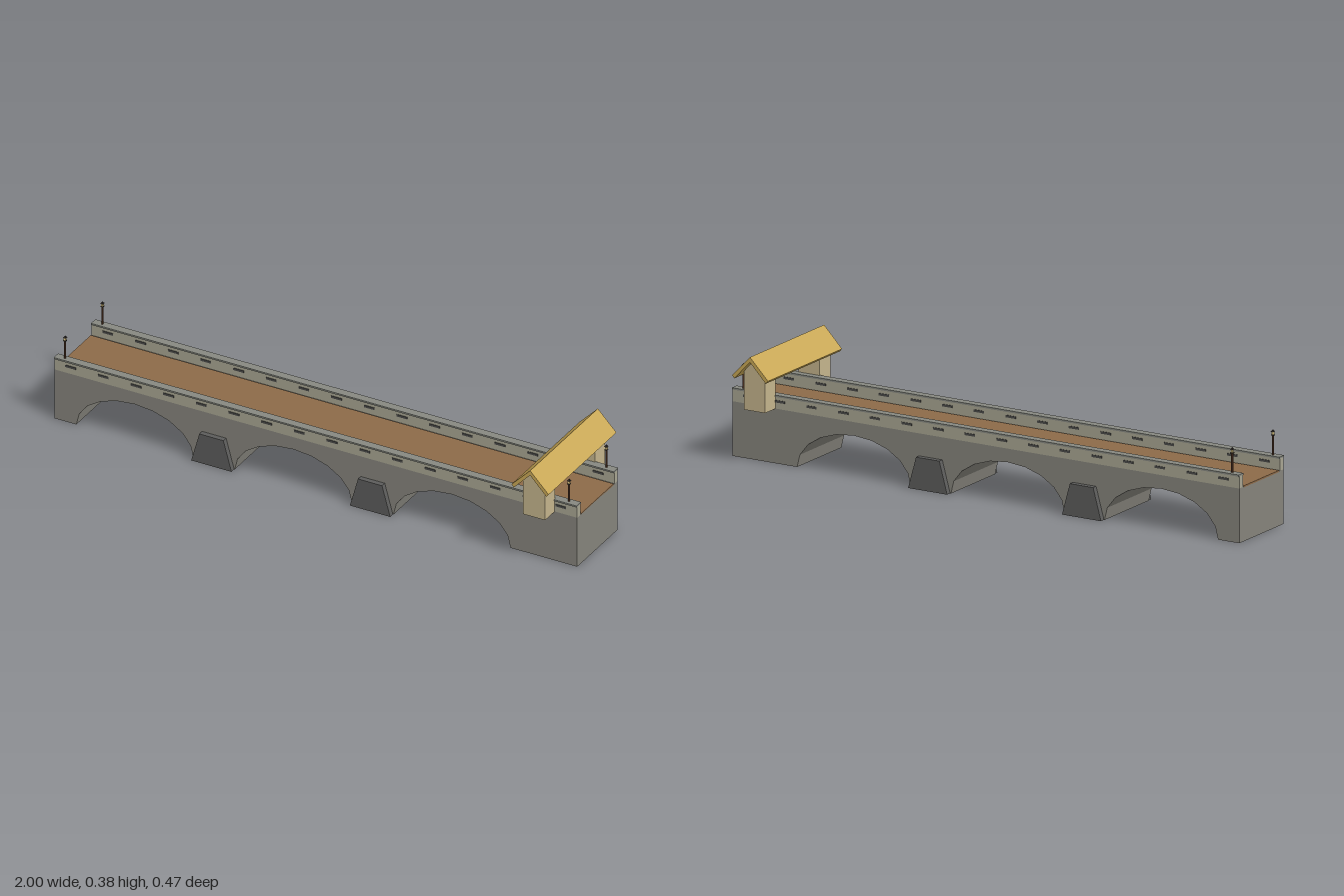
import * as THREE from 'three';

const mat = (color) => new THREE.MeshStandardMaterial({ color, flatShading: true });
const STONE = mat(0x85837b), PARAPET = mat(0xa8a592), COPING = mat(0x868880), PIER = mat(0x5c5c5b);
const SLOT = mat(0x4a4a48), EARTH = mat(0x8c6a48), WOOD = mat(0x5e3d2a), IRON = mat(0x2c2826);
const GLOW = mat(0xf0d890), PLASTER = mat(0xc4b48c), ROOF = mat(0xc9a856);

export function createModel() {
  const model = new THREE.Group();

  const add = (name, geometry, material, x = 0, y = 0, z = 0) => {
    const mesh = new THREE.Mesh(geometry, material);
    mesh.name = name;
    mesh.position.set(x, y, z);
    model.add(mesh);
    return mesh;
  };
  // Box given by its centre in x and z and by its bottom and top
  const box = (name, material, x, z, y0, y1, w, d) =>
    add(name, new THREE.BoxGeometry(w, y1 - y0, d), material, x, (y0 + y1) / 2, z);
  // Outline in x and y, extruded from z0 to z1
  const slab = (name, material, points, z0, z1, x = 0) => {
    const shape = new THREE.Shape(points.map(([px, py]) => new THREE.Vector2(px, py)));
    const geometry = new THREE.ExtrudeGeometry(shape, { depth: z1 - z0, bevelEnabled: false });
    return add(name, geometry, material, x, 0, z0);
  };

  // Bridge body with three faceted arches cut from its underside
  const outline = [[1, 0], [1, 0.19], [-1, 0.19], [-1, 0]];
  for (const cx of [-0.692, -0.086, 0.521]) {
    for (let i = 0; i <= 10; i++) {
      const a = Math.PI * (1 - i / 10);
      outline.push([cx + 0.224 * Math.cos(a), 0.143 * Math.sin(a)]);
    }
  }
  slab('archedBody', STONE, outline, -0.139, 0.139);

  // Road surface
  box('roadway', EARTH, 0, 0, 0.187, 0.193, 2, 0.222);

  for (const side of [1, -1]) {
    // Parapet wall with its coping
    box('parapet', PARAPET, 0, side * 0.128, 0.19, 0.232, 2, 0.022);
    box('coping', COPING, 0, side * 0.128, 0.232, 0.238, 2, 0.03);

    // Drain slots along the parapet
    for (let i = 0; i < 16; i++) {
      box('parapetSlot', SLOT, -0.9375 + i * 0.125, side * 0.128, 0.212, 0.22, 0.04, 0.026);
    }

    // Tapered buttresses on the piers
    for (const x of [-0.389, 0.218]) {
      const z = side > 0 ? 0.138 : -0.158;
      slab('buttress', PIER, [[-0.077, 0], [0.077, 0], [0.046, 0.112], [-0.046, 0.112]], z, z + 0.02, x);
    }

    // Lamp posts at both ends
    for (const x of [-0.965, 0.963]) {
      const z = side * 0.128;
      add('lampPost', new THREE.CylinderGeometry(0.0035, 0.0035, 0.07, 6), WOOD, x, 0.272, z);
      box('lampBase', IRON, x, z, 0.305, 0.308, 0.01, 0.01);
      box('lampGlass', GLOW, x, z, 0.308, 0.319, 0.007, 0.007);
      add('lampCap', new THREE.ConeGeometry(0.008, 0.008, 4).rotateY(Math.PI / 4), IRON, x, 0.322, z);
    }

    // Gabled gate tower outside the parapet
    const z = side > 0 ? 0.138 : -0.205;
    slab('gateTower', PLASTER,
      [[-0.042, 0.19], [0.042, 0.19], [0.042, 0.325], [0, 0.368], [-0.042, 0.325]], z, z + 0.067, 0.872);
  }

  // Pitched gate roof spanning the road
  slab('gateRoof', ROOF,
    [[0, 0.385], [-0.071, 0.312], [-0.062, 0.302], [0, 0.367], [0.062, 0.302], [0.071, 0.312]],
    -0.233, 0.233, 0.872);

  return model;
}
